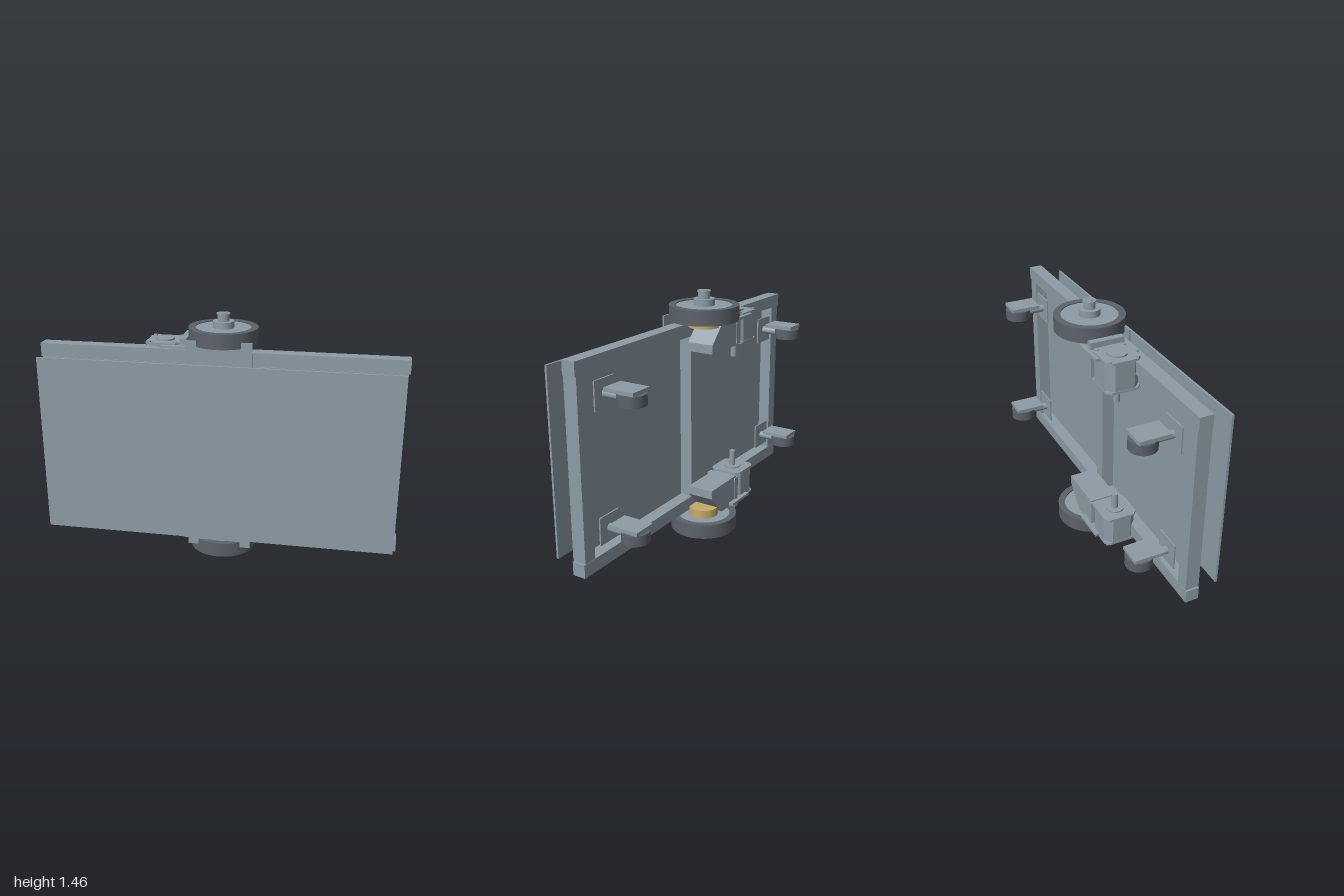
import * as THREE from 'three';
import { toCreasedNormals } from 'three/addons/utils/BufferGeometryUtils.js';

const material = (name, color) => Object.assign(new THREE.MeshStandardMaterial({ color }), { name });

export function createModel() {
  const root = new THREE.Group();
  root.name = 'wheeledPanelFrame';
  const steel = material('steel grey', 0x8e9ca6);
  const rubber = material('rubber grey', 0x5c626a);
  const brass = material('brass', 0xc6aa6c);

  const add = (parent, name, geometry, mat = steel) => {
    const mesh = new THREE.Mesh(geometry, mat);
    mesh.name = name;
    parent.add(mesh);
    return mesh;
  };
  // Box given by its limits on each axis
  const box = (parent, name, x0, x1, y0, y1, z0, z1) =>
    add(parent, name, new THREE.BoxGeometry(x1 - x0, Math.abs(y1 - y0), z1 - z0))
      .position.set((x0 + x1) / 2, (y0 + y1) / 2, (z0 + z1) / 2);
  // Upright cylinder between two heights
  const cyl = (parent, name, r, y0, y1, x, z, mat) =>
    add(parent, name, new THREE.CylinderGeometry(r, r, Math.abs(y1 - y0), 48), mat)
      .position.set(x, (y0 + y1) / 2, z);
  // Plan outline (x, z) raised between two heights
  const slab = (parent, name, outline, y0, y1) => {
    const shape = new THREE.Shape(outline.map(([x, z]) => new THREE.Vector2(x, -z)));
    const geo = new THREE.ExtrudeGeometry(shape, { depth: Math.abs(y1 - y0), bevelEnabled: false });
    geo.rotateX(-Math.PI / 2);
    add(parent, name, geo).position.y = Math.min(y0, y1);
  };
  // Front outline (x, y) extruded between two depths
  const profile = (parent, name, outline, z0, z1) => {
    const shape = new THREE.Shape(outline.map(([x, y]) => new THREE.Vector2(x, y)));
    add(parent, name, new THREE.ExtrudeGeometry(shape, { depth: z1 - z0, bevelEnabled: false }))
      .position.z = z0;
  };
  const chamfered = (x0, x1, z0, z1, c) => [
    [x0 + c, z0], [x1 - c, z0], [x1, z0 + c], [x1, z1 - c],
    [x1 - c, z1], [x0 + c, z1], [x0, z1 - c], [x0, z0 + c]];

  // Front panel
  box(root, 'frontPanel', -0.98, 0.98, 0.226, 1.233, 0.212, 0.224);

  // Frame of square tubes, closed by a sheet on the front
  const frame = new THREE.Group();
  frame.name = 'frame';
  root.add(frame);
  box(frame, 'topRail', -1, 1, 1.207, 1.281, 0.025, 0.1);
  box(frame, 'bottomRail', -1, 1, 0.179, 0.253, 0.025, 0.1);
  box(frame, 'middlePost', -0.035, 0.035, 0.253, 1.207, 0.027, 0.099);
  for (const [x0, x1] of [[-0.99, -0.915], [0.915, 0.99]])
    box(frame, 'sideRail', x0, x1, 0.253, 1.207, 0.027, 0.099);
  box(frame, 'frameSheet', -0.99, 0.99, 0.253, 1.207, 0.099, 0.104);

  // Four casters
  for (const x of [-0.8, 0.8]) for (const y of [0.38, 1.085]) {
    const caster = new THREE.Group();
    caster.name = 'caster';
    caster.position.set(x, y, 0);
    root.add(caster);
    box(caster, 'casterMountPlate', -0.075, 0.075, -0.075, 0.075, 0.019, 0.027);
    const stem = add(caster, 'casterStem', new THREE.CylinderGeometry(0.022, 0.022, 0.1, 24));
    stem.rotation.x = Math.PI / 2;
    stem.position.z = -0.028;
    box(caster, 'casterFork', -0.065, 0.065, 0.03, 0.05, -0.198, -0.025);
    cyl(caster, 'casterWheel', 0.073, -0.03, 0.027, 0, -0.142, rubber);
    cyl(caster, 'casterAxle', 0.015, 0.027, 0.03, 0, -0.142);
  }

  // Drive units: the lower one mirrors the upper one about mid height
  for (const upper of [true, false]) {
    const unit = new THREE.Group();
    unit.name = upper ? 'upperDrive' : 'lowerDrive';
    root.add(unit);
    const Y = y => (upper ? y : 1.46 - y);
    const flip = points => points.map(([x, y]) => [x, Y(y)]);
    const wz = -0.035;

    // Drive wheel with slightly recessed disc
    const ring = new THREE.Shape().absarc(0, 0, 0.19, 0, Math.PI * 2, false);
    ring.holes.push(new THREE.Path().absarc(0, 0, 0.153, 0, Math.PI * 2, true));
    const tyreGeo = new THREE.ExtrudeGeometry(ring, { depth: 0.083, bevelEnabled: false, curveSegments: 48 });
    tyreGeo.rotateX(-Math.PI / 2);
    add(unit, 'tyre', toCreasedNormals(tyreGeo, 0.6), rubber)
      .position.set(0, Math.min(Y(1.302), Y(1.385)), wz);
    cyl(unit, 'wheelDisc', 0.154, Y(1.31), Y(1.38), 0, wz);
    cyl(unit, 'wheelHub', 0.058, Y(1.38), Y(1.416), 0, wz);
    cyl(unit, 'wheelShaft', upper ? 0.032 : 0.022, Y(1.416), Y(upper ? 1.455 : 1.46), 0, wz);
    if (upper) {
      cyl(unit, 'shaftCap', 0.037, 1.452, 1.459, 0, wz);
      cyl(unit, 'shaftTip', 0.02, 1.459, 1.462, 0, wz);
    }
    cyl(unit, 'brassCollar', 0.085, Y(1.262), Y(1.31), 0, wz, brass);

    // Notched bracket in front of the rail
    profile(unit, 'frontBracket', flip([
      [-0.18, 1.16], [0.18, 1.16], [0.18, 1.335], [0.12, 1.335],
      [0.12, 1.305], [-0.12, 1.305], [-0.12, 1.335], [-0.18, 1.335]]), 0.104, 0.114);

    // Gearbox with sloping end, and its mounting parts
    profile(unit, 'gearbox', flip([
      [-0.21, 1.13], [0.065, 1.13], [0.065, 1.18], [-0.05, 1.3], [-0.21, 1.3]]), -0.13, 0.025);
    box(unit, 'mountPlate', -0.325, -0.13, Y(1.277), Y(1.292), -0.157, 0.085);
    box(unit, 'motorFlange', -0.225, -0.188, Y(1.14), Y(1.33), -0.135, 0.055);
    const rod = add(unit, 'tieRod', new THREE.CylinderGeometry(0.014, 0.014, 0.25, 20));
    rod.rotation.z = Math.PI / 2;
    rod.position.set(-0.056, Y(1.15), -0.114);

    // Motor with end caps, boss and shaft
    slab(unit, 'motorBody', chamfered(-0.418, -0.225, -0.132, 0.056, 0.04), Y(1.137), Y(1.288));
    for (const [a, b] of [[1.125, 1.137], [1.288, 1.3]])
      slab(unit, 'motorEndCap', chamfered(-0.42, -0.225, -0.135, 0.058, 0.025), Y(a), Y(b));
    cyl(unit, 'motorOuterBoss', 0.052, Y(1.3), Y(1.309), -0.325, -0.037);
    cyl(unit, 'motorInnerBoss', 0.05, Y(1.117), Y(1.125), -0.325, -0.037);
    cyl(unit, 'motorShaft', 0.018, Y(1.026), Y(1.117), -0.325, -0.037);
    for (const x of [-0.4, -0.25]) for (const z of [-0.115, 0.038])
      cyl(unit, 'motorBolt', 0.011, Y(1.3), Y(1.306), x, z);
  }

  // ExtrudeGeometry orders its corners itself, so mirrored outlines still face outward
  return root;
}
